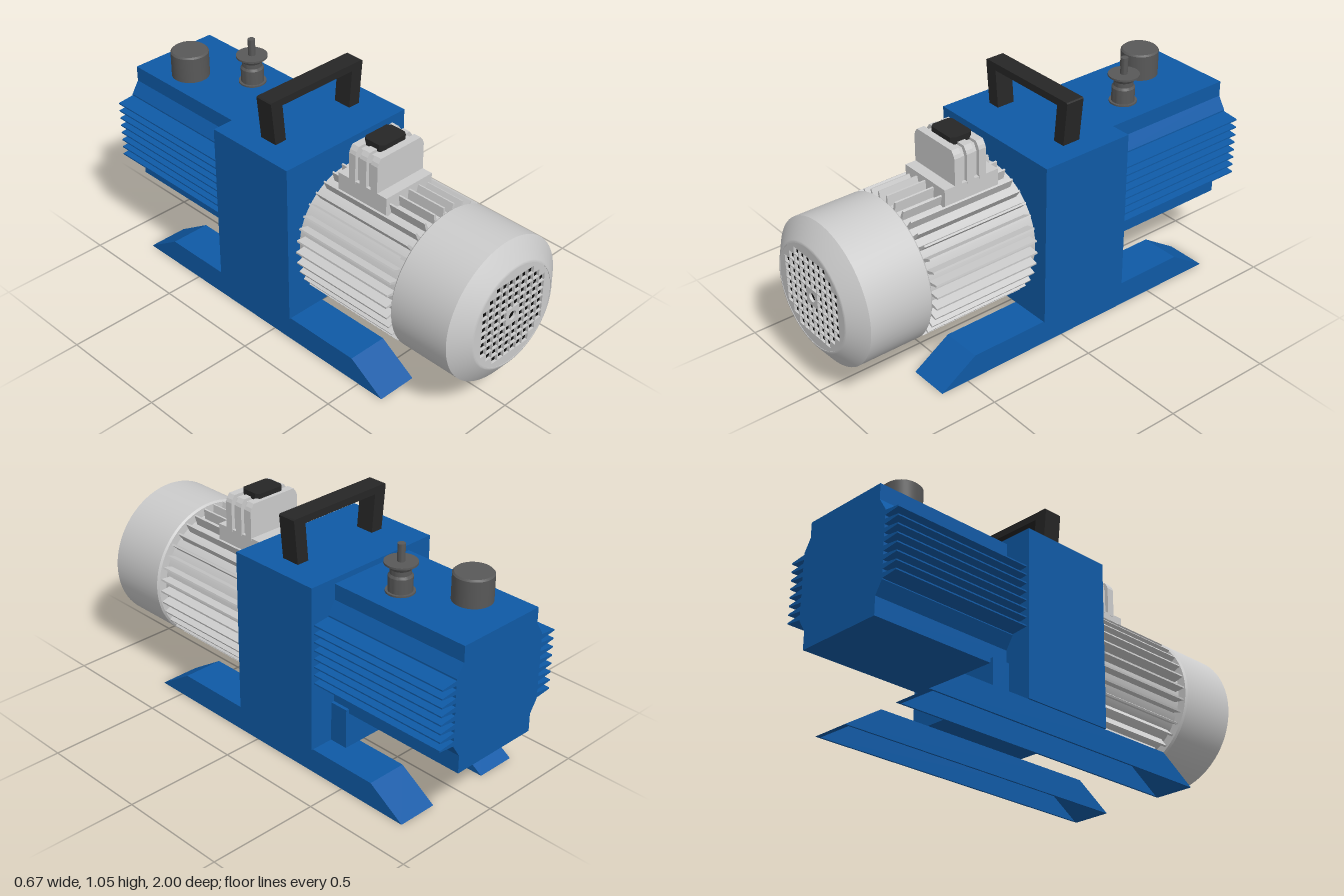
import * as THREE from 'three';
import { toCreasedNormals } from 'three/addons/utils/BufferGeometryUtils.js';

const paint = (color) => new THREE.MeshStandardMaterial({ color, side: THREE.DoubleSide });
const AXIS_Y = 0.46; // height of the motor shaft

export function createModel() {
  const model = new THREE.Group();
  const blue = paint(0x0f5aa6), grey = paint(0xcccccc), darkGrey = paint(0x585858), black = paint(0x262626);
  const holeBlack = paint(0x0a0a0a);

  const add = (name, geometry, material, parent = model) => {
    const mesh = new THREE.Mesh(geometry, material);
    mesh.name = name;
    parent.add(mesh);
    return mesh;
  };
  // Box given by its limits on each axis
  const block = (x0, x1, y0, y1, z0, z1) =>
    new THREE.BoxGeometry(x1 - x0, y1 - y0, z1 - z0).translate((x0 + x1) / 2, (y0 + y1) / 2, (z0 + z1) / 2);
  const outline = (points) => new THREE.Shape(points.map(([x, y]) => new THREE.Vector2(x, y)));
  // Outline in x and y, drawn out along z
  const prism = (points, z0, z1) =>
    new THREE.ExtrudeGeometry(outline(points), { depth: z1 - z0, bevelEnabled: false }).translate(0, 0, z0);
  // Mirrors a half outline (listed on +x) to a closed symmetric one
  const mirrored = (half) => [...half, ...half.map(([x, y]) => [-x, y]).reverse()];
  const turned = (points, segments = 64) => toCreasedNormals(
    new THREE.LatheGeometry(points.map(([r, y]) => new THREE.Vector2(r, y)), segments), 0.5);

  // Gear housing and the pedestal below the pump
  add('housing', block(-0.335, 0.335, 0.11, 0.85, -0.335, 0.1), blue);
  add('pedestal', block(-0.225, 0.225, 0.11, 0.29, -0.42, -0.335), blue);

  // Skids: folded sheet channels, open at the bottom
  const skidOuter = [[-0.63, 0], [-0.46, 0.11], [0.66, 0.11], [0.83, 0]];
  const skidSheet = [...skidOuter, [0.81, 0], [0.655, 0.1], [-0.455, 0.1], [-0.61, 0]];
  const skidPart = (points, x0, x1) => prism(points, x0, x1).rotateY(Math.PI / 2);
  for (const [name, x0] of [['leftSkid', 0.145], ['rightSkid', -0.328]]) {
    const skid = new THREE.Group();
    skid.name = name;
    const x1 = x0 + 0.183;
    add('skidSheet', skidPart(skidSheet, x0, x1), blue, skid);
    add('skidInnerWall', skidPart(skidOuter, x0, x0 + 0.008), blue, skid);
    add('skidOuterWall', skidPart(skidOuter, x1 - 0.008, x1), blue, skid);
    model.add(skid);
  }

  // Pump block: chamfered section with tapered cooling fins
  const pumpHalf = [[0.21, 0.27], [0.21, 0.35], [0.245, 0.405]];
  for (let i = 0; i < 8; i++) {
    const y = 0.42 + i * 0.0375;
    pumpHalf.push([0.245, y - 0.011], [0.322, y - 0.003], [0.322, y + 0.003], [0.245, y + 0.011]);
  }
  pumpHalf.push([0.245, 0.7], [0.21, 0.755], [0.21, 0.825]);
  add('pumpBlock', prism(mirrored(pumpHalf), -1, -0.335), blue);

  // Exhaust cap and inlet port on top of the pump
  add('exhaustCap', turned([[0, 0.82], [0.083, 0.82], [0.083, 0.938], [0.076, 0.945], [0, 0.945]], 40),
    darkGrey).position.set(-0.08, 0, -0.785);
  add('inletPort', turned([[0, 0.82], [0.06, 0.82], [0.06, 0.832], [0.05, 0.832], [0.05, 0.895], [0.043, 0.905],
    [0.043, 0.925], [0.055, 0.945], [0.068, 0.947], [0.068, 0.955], [0.016, 0.955], [0.016, 1.03], [0, 1.03]], 40),
    darkGrey).position.set(0.07, 0, -0.55);

  // Carrying handle
  add('handle', prism(mirrored([[0.195, 1.018], [0.18, 0.85], [0.237, 0.85], [0.256, 1.045], [0.251, 1.05]]),
    -0.155, -0.07), black);

  // Motor, built around its shaft
  const motor = new THREE.Group();
  motor.name = 'motor';
  motor.position.y = AXIS_Y;
  model.add(motor);
  add('motorCore', new THREE.CylinderGeometry(0.27, 0.27, 0.56, 64).rotateX(Math.PI / 2).translate(0, 0, 0.375),
    grey, motor);
  const fin = prism([[-0.009, 0.255], [0.009, 0.255], [0.004, 0.316], [-0.004, 0.316]], 0.127, 0.63);
  const finCount = 36;
  for (let i = 0; i < finCount; i++) {
    add('motorFin', fin, grey, motor).rotation.z = (i / finCount) * Math.PI * 2;
  }

  // Fan cover with a chamfered rim
  add('fanCover', turned([[0, 0.65], [0.308, 0.65], [0.316, 0.658], [0.316, 0.94], [0.236, 0.997], [0.23, 1],
    [0.226, 1], [0.226, 0.975], [0, 0.975]], 72).rotateX(Math.PI / 2), grey, motor);

  // Fan grille: square openings around a solid hub
  const grille = new THREE.Shape().absarc(0, 0, 0.227, 0, Math.PI * 2);
  const pitch = 0.0367, h = 0.016;
  for (let row = 0; row < 10; row++) {
    for (let col = 0; col < 10; col++) {
      const u = Math.abs(col - 4.5), v = Math.abs(row - 4.5);
      if (u + v > 7 || u + v < 1.5) continue;
      const x = (col - 4.5) * pitch, y = (row - 4.5) * pitch;
      grille.holes.push(outline([[x - h, y - h], [x - h, y + h], [x + h, y + h], [x + h, y - h]]));
    }
  }
  grille.holes.push(new THREE.Path().absarc(0, 0, 0.021, 0, Math.PI * 2, true));
  add('fanGrille', new THREE.ExtrudeGeometry(grille, { depth: 0.012, bevelEnabled: false, curveSegments: 36 })
    .translate(0, 0, 0.986), grey, motor);
  add('grilleBacking', new THREE.CircleGeometry(0.224, 48).translate(0, 0, 0.984), holeBlack, motor);

  // Terminal box: base, core, three ribs and a lid
  add('terminalBase', block(-0.13, 0.13, 0.68, 0.79, 0.18, 0.445), grey);
  add('terminalCore', prism(mirrored([[0.115, 0.78], [0.115, 0.9], [0.1, 0.93]]), 0.25, 0.385), grey);
  for (const z of [0.24, 0.3, 0.36]) {
    add('terminalRib', prism(mirrored([[0.131, 0.78], [0.131, 0.91], [0.125, 0.925], [0.112, 0.943]]), z, z + 0.035),
      grey);
  }
  const lid = mirrored([[0.06, -0.052], [0.073, -0.035], [0.073, 0.035], [0.06, 0.052]]);
  add('terminalLid', prism(lid, 0, 0.03).rotateX(-Math.PI / 2), black).position.set(0, 0.935, 0.31);

  return model;
}
